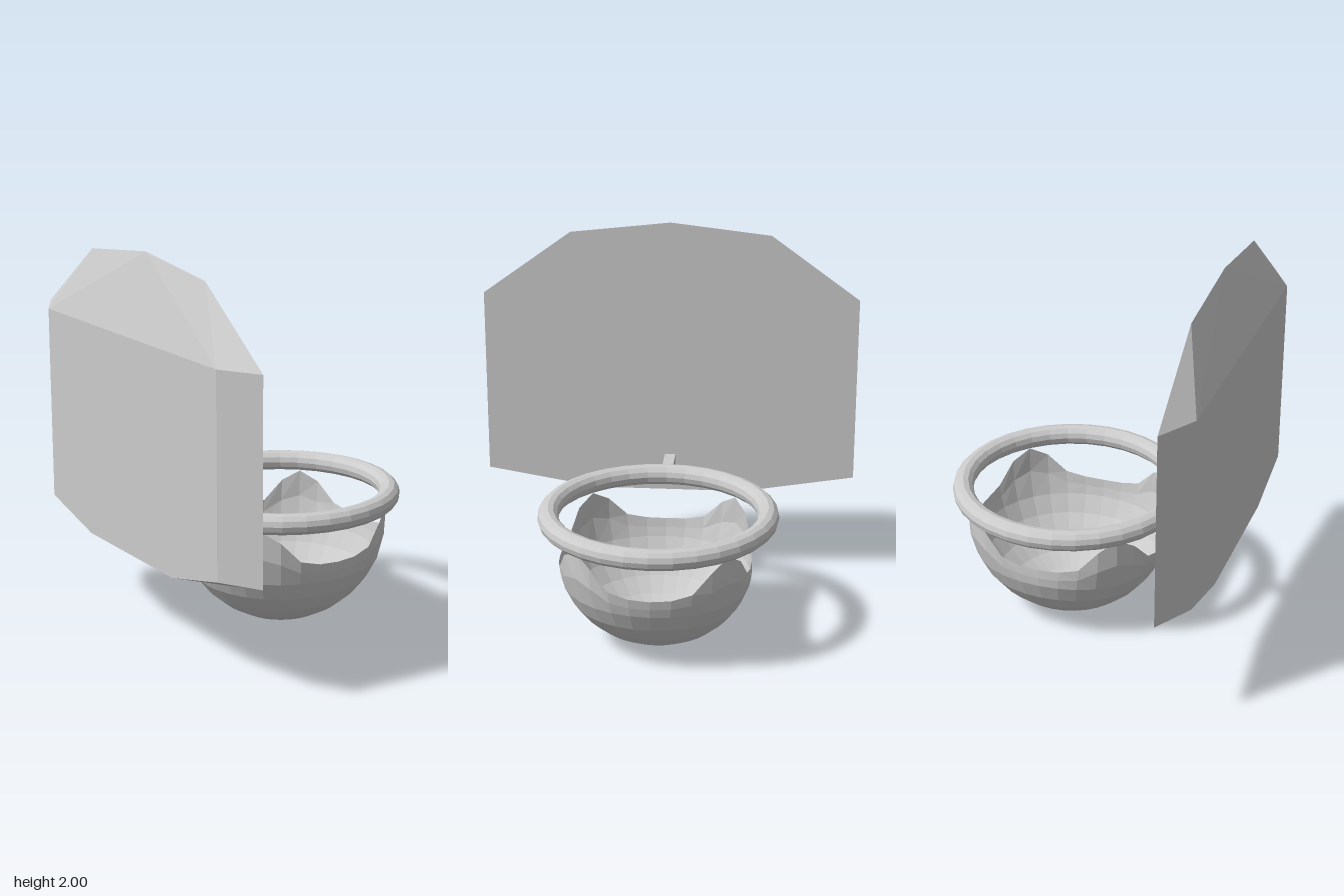
import * as THREE from 'three';
import { ConvexGeometry } from 'three/addons/geometries/ConvexGeometry.js';

const HOOP_X = 0.14;

function makeMesh(name, geometry, side = THREE.FrontSide) {
  const material = new THREE.MeshStandardMaterial({ color: 0xcccccc, flatShading: true, side });
  const mesh = new THREE.Mesh(geometry, material);
  mesh.name = name;
  return mesh;
}

// Board: wide arched front face, bevelled back to a smaller rear face
function backboard() {
  const front = [[1, 0.6], [1, 1.6], [0.53, 1.94], [0, 2], [0.4, 0.5]];
  const rear = [[0.8, 0.6], [0.8, 1.6], [0.4, 0.5]];
  const points = [];
  const addOutline = (outline, x) => {
    for (const [z, y] of outline) {
      points.push(new THREE.Vector3(x, y, z));
      if (z > 0) points.push(new THREE.Vector3(x, y, -z));
    }
  };
  addOutline(front, -0.643);
  addOutline(rear, -0.76);
  return makeMesh('backboard', new ConvexGeometry(points));
}

// Net: open spherical bowl whose rim rises in four peaks on the diagonals
function net() {
  const R = 0.55, rows = 8, fixedRows = 6, segments = 32;
  const rim = [0.435, 0.44, 0.465, 0.57, 0.625]; // rim height from valley to peak
  const bowlY = (row) => R * (1 - Math.cos((row * Math.PI) / 16));
  const profile = [];
  for (let i = 0; i <= rows; i++) {
    profile.push(new THREE.Vector2(R * Math.sin((i * Math.PI) / 16), bowlY(i)));
  }
  const geometry = new THREE.LatheGeometry(profile, segments);
  const pos = geometry.attributes.position;
  for (let i = 0; i < pos.count; i++) {
    const row = i % (rows + 1);
    const seg = Math.floor(i / (rows + 1));
    const angle = (seg / segments) * Math.PI * 2;
    const step = seg % 8;
    const rimY = rim[step <= 4 ? step : 8 - step];
    const y = row <= fixedRows
      ? bowlY(row)
      : THREE.MathUtils.lerp(bowlY(fixedRows), rimY, (row - fixedRows) / (rows - fixedRows));
    const r = Math.sqrt(Math.max(0, R * R - (R - y) ** 2));
    // The valleys sag inward, most of all at the back
    const c = Math.cos(angle), s = Math.sin(angle), w = (row / rows) ** 2;
    const pullZ = 1 - w * (c < 0 ? 0.11 : 0.06) * c ** 4;
    const pullX = 1 - w * 0.025 * s ** 4;
    pos.setXYZ(i, r * s * pullX, y, r * c * pullZ);
  }
  geometry.computeVertexNormals();
  const mesh = makeMesh('net', geometry, THREE.DoubleSide);
  mesh.position.x = HOOP_X;
  return mesh;
}

export function createModel() {
  const model = new THREE.Group();
  model.name = 'basketballHoop';

  const ring = makeMesh('ring', new THREE.TorusGeometry(0.56, 0.054, 12, 32));
  ring.rotation.x = Math.PI / 2;
  ring.position.set(HOOP_X, 0.677, 0);

  // Arm joining the board to the ring
  const bracket = makeMesh('bracket', new THREE.BoxGeometry(0.2, 0.058, 0.058));
  bracket.position.set(-0.543, 0.677, 0);

  model.add(backboard(), bracket, ring, net());
  return model;
}
